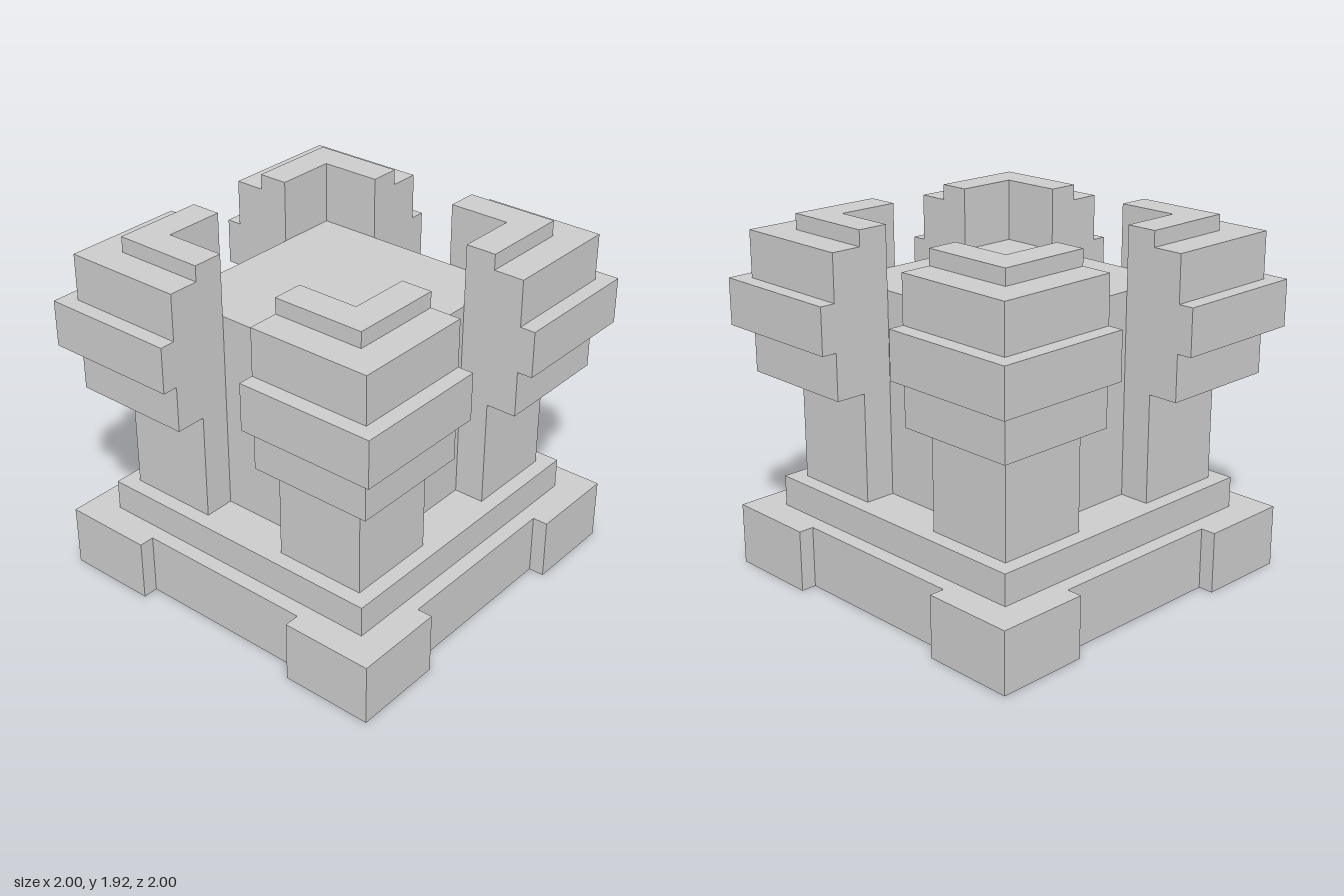
import * as THREE from 'three';

const material = new THREE.MeshStandardMaterial({ color: 0xcccccc, flatShading: true });
const U = 1 / 12; // the whole tower sits on a grid of twelfths

// Extrude a plan outline (in grid units) upward from y0 to y1.
function slab(name, points, y0, y1) {
  const shape = new THREE.Shape(points.map(([x, z]) => new THREE.Vector2(x * U, z * U)));
  const geometry = new THREE.ExtrudeGeometry(shape, { depth: (y1 - y0) * U, bevelEnabled: false });
  geometry.rotateX(-Math.PI / 2).translate(0, y0 * U, 0);
  const mesh = new THREE.Mesh(geometry, material);
  mesh.name = name;
  return mesh;
}

const square = (r) => [[-r, -r], [r, -r], [r, r], [-r, r]];

// Square with a shallow recess in the middle of each side.
function notchedSquare(r, half, inner) {
  const side = [[r, -r], [r, -half], [inner, -half], [inner, half], [r, half]];
  const points = [];
  for (let i = 0; i < 4; i++) {
    const c = [1, 0, -1, 0][i], s = [0, 1, 0, -1][i];
    side.forEach(([x, z]) => points.push([x * c - z * s, x * s + z * c]));
  }
  return points;
}

// L-shaped plan wrapping one corner of the core.
const corner = (outer, inner = 7, gap = 3) =>
  [[inner, gap], [outer, gap], [outer, outer], [gap, outer], [gap, inner], [inner, inner]];

export function createModel() {
  const tower = new THREE.Group();
  tower.name = 'tower';

  // Foundation, step and central block
  tower.add(
    slab('foundation', notchedSquare(12, 6, 11), 0, 4),
    slab('step', square(10), 4, 6),
    slab('core', square(7), 6, 19),
  );

  // Four corner turrets, each a stack of L-shaped courses: name, outer reach, bottom, top
  const courses = [
    ['pier', 9, 6, 13],
    ['lowerCorbel', 11, 13, 16],
    ['ledge', 12, 16, 19],
    ['parapet', 11, 19, 22],
    ['cap', 9, 22, 23],
  ];
  for (let i = 0; i < 4; i++) {
    const turret = new THREE.Group();
    turret.name = `cornerTurret${i + 1}`;
    courses.forEach(([name, outer, y0, y1]) => turret.add(slab(name, corner(outer), y0, y1)));
    turret.rotation.y = (i * Math.PI) / 2;
    tower.add(turret);
  }
  return tower;
}
